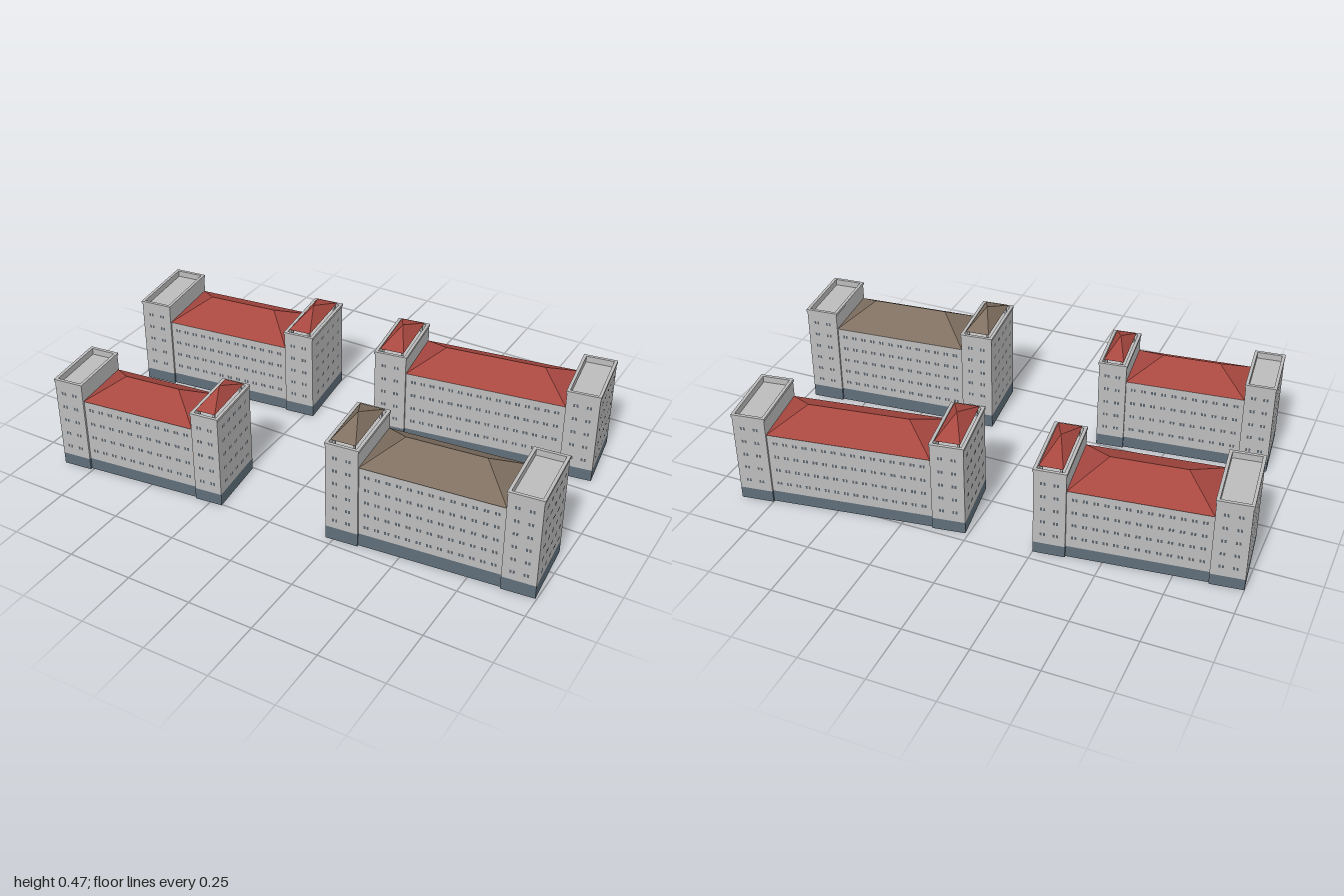
import * as THREE from 'three';
import { mergeGeometries } from 'three/addons/utils/BufferGeometryUtils.js';

const material = (name, color, side = THREE.DoubleSide) => {
  const m = new THREE.MeshStandardMaterial({ color, side });
  m.name = name;
  return m;
};

// Four upright walls, open at the top and bottom
function shell(w, y0, y1, d) {
  const g = new THREE.BoxGeometry(w, y1 - y0, d);
  const index = Array.from(g.index.array);
  index.splice(12, 12);
  g.setIndex(index);
  g.clearGroups();
  return g.translate(0, (y0 + y1) / 2, 0);
}

// Rectangular frame, used for parapets and copings
function frame(w, d, thick, y0, y1) {
  const rect = (C, a, b) => new C([[-a, -b], [a, -b], [a, b], [-a, b]].map(p => new THREE.Vector2(...p)));
  const s = rect(THREE.Shape, w / 2, d / 2);
  s.holes.push(rect(THREE.Path, w / 2 - thick, d / 2 - thick));
  return new THREE.ExtrudeGeometry(s, { depth: y1 - y0, bevelEnabled: false })
    .rotateX(-Math.PI / 2).translate(0, y0, 0);
}

// Hipped roof with its ridge along x; a zero-length ridge makes a pyramid
function hipRoof(w, d, y0, y1, inset) {
  const a = w / 2, b = d / 2, r = a - inset;
  const A = [-a, y0, b], B = [a, y0, b], C = [a, y0, -b], D = [-a, y0, -b];
  const L = [-r, y1, 0], R = [r, y1, 0];
  const faces = [A, B, R, B, C, R, C, D, L, D, A, L, A, C, B, A, D, C];
  if (r > 0.001) faces.push(A, R, L, C, L, R);
  const g = new THREE.BufferGeometry();
  g.setAttribute('position', new THREE.Float32BufferAttribute(faces.flat(), 3));
  g.computeVertexNormals();
  return g;
}

// Rows of paired windows on the wall facing +z at distance dist
function windowGrid(cols, width, rows, y0, y1, dist) {
  const out = [];
  for (let r = 0; r < rows; r++) for (let c = 0; c < cols; c++) for (const s of [-1, 1]) {
    const x = (c + 0.5) / cols * width - width / 2 + s * 0.006;
    const y = y0 + (y1 - y0) * r / (rows - 1);
    out.push(new THREE.PlaneGeometry(0.007, 0.013).translate(x, y, dist + 0.0015));
  }
  return mergeGeometries(out);
}

export function createModel() {
  const wall = material('pale grey wall', 0xbcbcbc);
  const base = material('slate blue base', 0x5f6e7a);
  const red = material('red roof', 0xa84840);
  const brown = material('brown roof', 0x7f7061);
  const glass = material('dark window', 0x59626a);

  // side = end carrying the roofed pavilion; the other end tower is flat
  const buildings = [
    { name: 'backLeftBuilding', x: -0.608, z: -0.269, turn: 0.119, len: 0.755, d: 0.297, side: 1, pav: 0.118, flat: 0.125,
      top: 0.364, eave: 0.29, ridge: 0.36, apex: 0.42, plinth: 0.046, roof: red, rows: 5 },
    { name: 'backRightBuilding', x: 0.4625, z: -0.387, turn: 0.144, len: 0.871, d: 0.275, side: -1, pav: 0.125, flat: 0.125,
      top: 0.373, eave: 0.3, ridge: 0.368, apex: 0.43, plinth: 0.047, roof: red, rows: 5 },
    { name: 'frontRightBuilding', x: 0.595, z: 0.302, turn: 0.09, len: 0.778, d: 0.274, side: -1, pav: 0.124, flat: 0.125,
      top: 0.41, eave: 0.338, ridge: 0.417, apex: 0.47, plinth: 0.053, roof: brown, rows: 6 },
    { name: 'frontLeftBuilding', x: -0.551, z: 0.417, turn: 0.112, len: 0.673, d: 0.252, side: 1, pav: 0.107, flat: 0.113,
      top: 0.377, eave: 0.305, ridge: 0.374, apex: 0.433, plinth: 0.047, roof: red, rows: 5 },
  ];

  const model = new THREE.Group();
  for (const b of buildings) {
    const building = new THREE.Group();
    building.name = b.name;
    building.position.set(b.x, 0, b.z);
    building.rotation.y = b.turn;
    model.add(building);

    const part = (x, name) => {
      const g = new THREE.Group();
      g.name = name;
      g.position.x = x;
      building.add(g);
      return (meshName, geometry, mat) => {
        const m = new THREE.Mesh(geometry, mat);
        m.name = meshName;
        g.add(m);
      };
    };
    const bothFaces = (add, cols, width, rows, y0, y1, dist) => {
      for (const [n, turn] of [['frontWindows', 0], ['backWindows', Math.PI]])
        add(n, windowGrid(cols, width, rows, y0, y1, dist).rotateY(turn), glass);
    };

    // End towers with recessed decks and parapets
    const tower = (w, end, name) => {
      const add = part(end * (b.len - w) / 2, name);
      add('walls', shell(w, b.plinth, b.top - 0.01, b.d), wall);
      add('plinth', shell(w, 0, b.plinth, b.d), base);
      add('deck', new THREE.BoxGeometry(w - 0.004, 0.004, b.d - 0.004).translate(0, b.top - 0.027, 0), wall);
      add('parapet', frame(w - 0.001, b.d - 0.001, 0.009, b.top - 0.027, b.top - 0.01), wall);
      add('coping', frame(w + 0.005, b.d + 0.005, 0.012, b.top - 0.01, b.top), wall);
      bothFaces(add, 2, w * 0.8, b.rows, 0.088, b.top - 0.055, b.d / 2);
      add('endWindows', windowGrid(5, b.d * 0.85, b.rows, 0.088, b.top - 0.05, w / 2).rotateY(end * Math.PI / 2), glass);
      return add;
    };
    tower(b.flat, -b.side, 'flatTower');
    const addPav = tower(b.pav, b.side, 'pavilionTower');

    // Pavilion roof raised on corner posts
    const pw = b.pav - 0.03, pd = b.d - 0.025, eave = b.top + 0.008;
    addPav('pavilionRoof', hipRoof(pw, pd, eave, b.apex, pw / 2), b.roof);
    for (const sx of [-1, 1]) for (const sz of [-1, 1])
      addPav('roofPost', new THREE.BoxGeometry(0.008, 0.033, 0.008)
        .translate(sx * (pw / 2 - 0.009), eave - 0.0165, sz * (pd / 2 - 0.012)), wall);

    // Long middle wing, set back slightly from the towers
    const w = b.len - b.pav - b.flat, d = b.d - 0.016;
    const addWing = part(b.side * (b.flat - b.pav) / 2, 'middleWing');
    addWing('walls', shell(w, b.plinth, b.eave, d), wall);
    addWing('plinth', shell(w, 0, b.plinth, d), base);
    addWing('hipRoof', hipRoof(w, d + 0.008, b.eave, b.ridge, 0.117), b.roof);
    bothFaces(addWing, Math.round(w / 0.04), w * 0.96, b.rows - 1, 0.088, b.eave - 0.035, d / 2);
  }
  return model;
}
